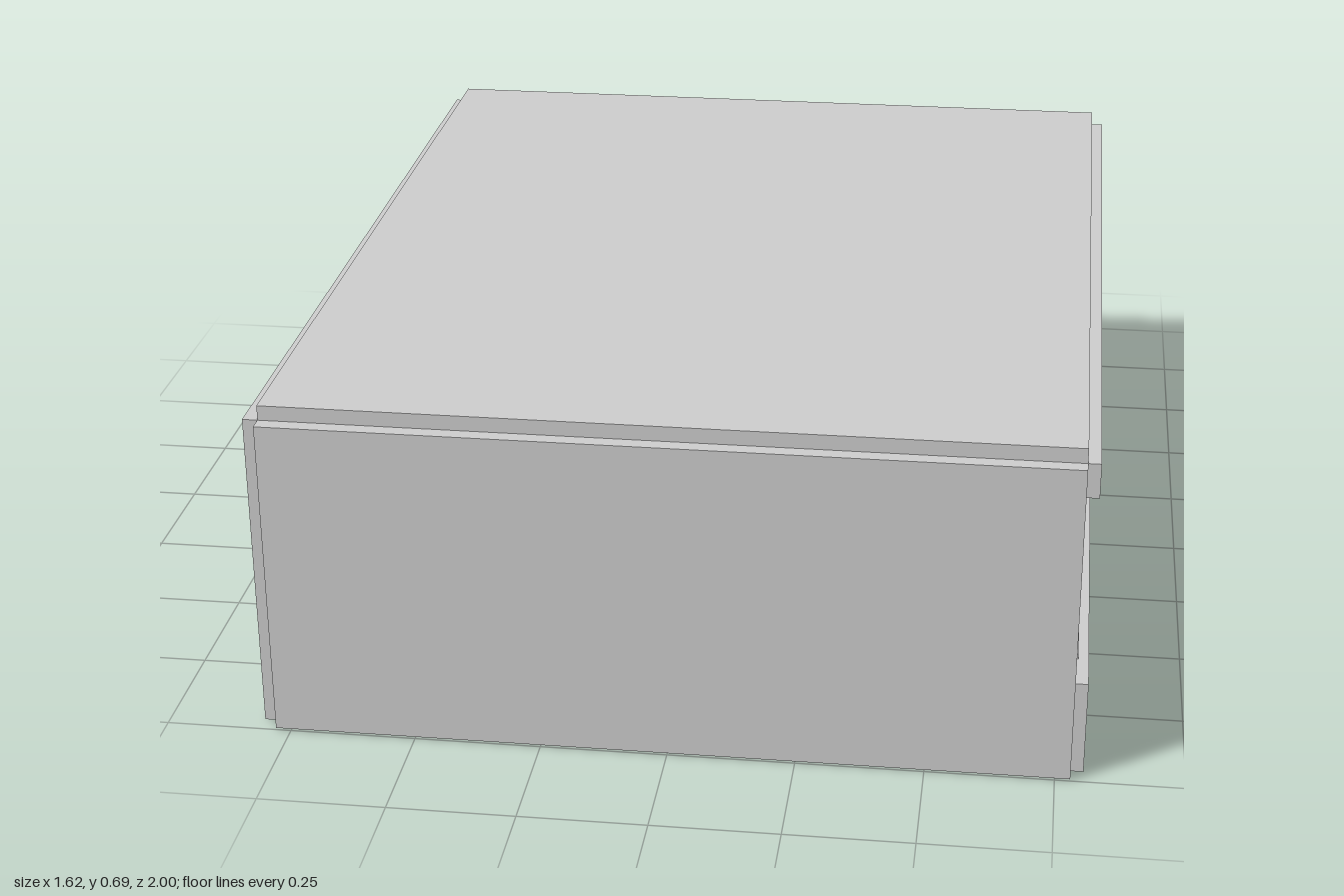
import * as THREE from 'three';

const grey = new THREE.MeshStandardMaterial({ color: 0xcccccc });

// Box given by its min and max corners
function slab(parent, name, [x0, y0, z0], [x1, y1, z1]) {
  const mesh = new THREE.Mesh(new THREE.BoxGeometry(x1 - x0, y1 - y0, z1 - z0), grey);
  mesh.position.set((x0 + x1) / 2, (y0 + y1) / 2, (z0 + z1) / 2);
  mesh.name = name;
  parent.add(mesh);
}

// Rectangle outline with slightly rounded corners
function outline(path, x0, y0, x1, y1, r) {
  path.moveTo(x0 + r, y0);
  path.lineTo(x1 - r, y0);
  path.quadraticCurveTo(x1, y0, x1, y0 + r);
  path.lineTo(x1, y1 - r);
  path.quadraticCurveTo(x1, y1, x1 - r, y1);
  path.lineTo(x0 + r, y1);
  path.quadraticCurveTo(x0, y1, x0, y1 - r);
  path.lineTo(x0, y0 + r);
  path.quadraticCurveTo(x0, y0, x0 + r, y0);
  return path;
}

export function createModel() {
  const room = new THREE.Group();
  room.name = 'room';

  // Shell: floor, ceiling and the three closed walls
  slab(room, 'floor', [-0.78, 0.004, -0.97], [0.78, 0.03, 0.97]);
  slab(room, 'ceiling', [-0.78, 0.66, -0.97], [0.78, 0.69, 0.97]);
  slab(room, 'frontWall', [-0.78, 0.004, 0.97], [0.78, 0.66, 1]);
  slab(room, 'backWall', [-0.78, 0.004, -1], [0.78, 0.66, -0.97]);
  slab(room, 'rightWall', [-0.81, 0.004, -0.97], [-0.78, 0.66, 0.97]);

  // Window side: parapet below, beam above
  slab(room, 'windowParapet', [0.755, 0.004, -0.97], [0.805, 0.197, 0.97]);
  slab(room, 'windowBeam', [0.755, 0.59, -0.97], [0.805, 0.66, 0.97]);

  // Window frame with two rows of openings, mirrored about the middle
  const shape = outline(new THREE.Shape(), -0.97, 0.19, 0.97, 0.6, 0);
  const openings = [[0.06, 0.246], [0.252, 0.435], [0.487, 0.673], [0.679, 0.862]];
  for (const [a, b] of openings) {
    for (const [u0, u1] of [[a, b], [-b, -a]]) {
      shape.holes.push(outline(new THREE.Path(), u0, 0.217, u1, 0.48, 0.006));
      shape.holes.push(outline(new THREE.Path(), u0, 0.5, u1, 0.592, 0.006));
    }
  }
  const frameGeo = new THREE.ExtrudeGeometry(shape, { depth: 0.025, bevelEnabled: false, curveSegments: 3 });
  frameGeo.rotateY(Math.PI / 2);
  const frame = new THREE.Mesh(frameGeo, grey);
  frame.name = 'windowFrame';
  frame.position.x = 0.755;
  room.add(frame);

  // Panes set back in the frame, one sheet and sill per half
  for (const side of [-1, 1]) {
    const z0 = side < 0 ? -0.875 : 0.05;
    slab(room, 'windowPanes', [0.755, 0.2, z0], [0.765, 0.6, z0 + 0.825]);
    slab(room, 'windowSill', [0.77, 0.195, z0], [0.785, 0.208, z0 + 0.825]);
  }
  slab(room, 'windowStrip', [0.77, 0.2, -0.448], [0.781, 0.59, -0.443]);

  // Small feet showing under the floor, in groups of four
  const footGeo = new THREE.BoxGeometry(0.006, 0.006, 0.006);
  for (const x of [-0.515, -0.165, 0.215, 0.54]) {
    for (const z of [0.38, 0.115, -0.15, -0.415, -0.68]) {
      for (const dx of [-0.036, 0.036]) {
        for (const dz of [-0.053, 0.053]) {
          const foot = new THREE.Mesh(footGeo, grey);
          foot.name = 'foot';
          foot.position.set(x + dx, 0.003, z + dz);
          room.add(foot);
        }
      }
    }
  }
  return room;
}
